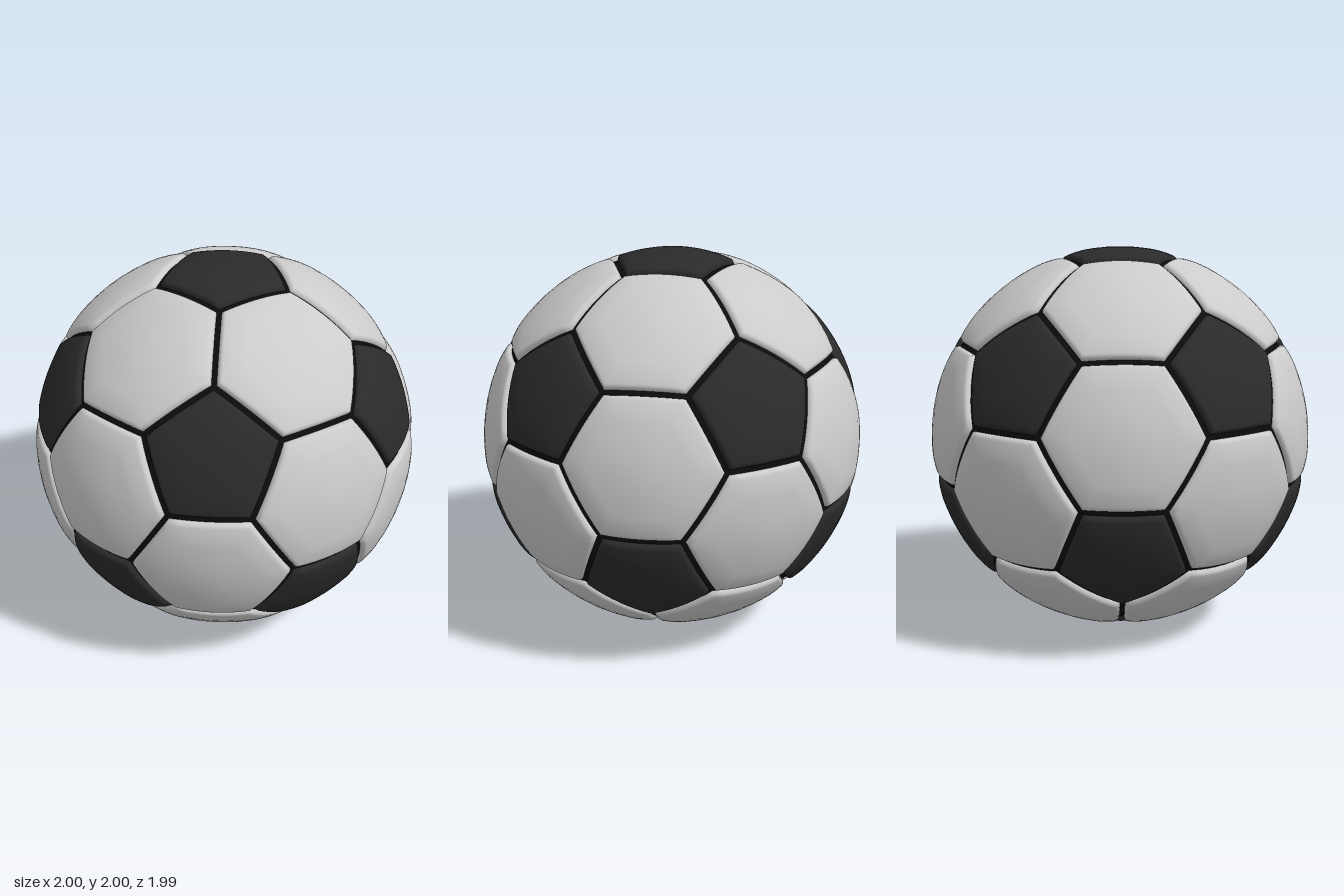
import * as THREE from 'three';

const EDGE_STEPS = 8;
const GAP = 0.012;   // half width of the seam
const LIP = 0.035;   // where the panel starts to roll into the seam

// Surface radius at a given distance from the panel's border
function panelRadius(d) {
  const soft = 1 - Math.min(d / 0.14, 1);
  const u = Math.min(Math.max((LIP - d) / (LIP - GAP), 0), 1);
  return 1 - 0.013 * soft * soft - 0.03 * (1 - Math.sqrt(1 - u * u));
}

// Padded spherical panel: rings run from the centre out to the border
function panelGeometry(corners) {
  const centre = new THREE.Vector3();
  corners.forEach(p => centre.addScaledVector(p, 1 / corners.length));
  const axis = centre.clone().normalize();
  const u = corners[0].clone().sub(centre).normalize();
  const v = axis.clone().cross(u);
  const angle = p => Math.atan2(p.dot(v), p.dot(u));
  const sorted = [...corners].sort((a, b) => angle(a) - angle(b));
  const apothem = sorted[0].clone().add(sorted[1]).multiplyScalar(0.5).distanceTo(centre);

  const border = [];
  sorted.forEach((p, i) => {
    const q = sorted[(i + 1) % sorted.length];
    for (let k = 0; k < EDGE_STEPS; k++) border.push(p.clone().lerp(q, k / EDGE_STEPS));
  });

  const dists = [0.8, 0.6].map(f => f * apothem)
    .concat([0.14, 0.115, 0.09, 0.065, 0.045, LIP, 0.028, 0.022, 0.017, 0.014, GAP]);
  const pos = [...axis.toArray()];
  const index = [];
  const n = border.length;
  dists.forEach((d, r) => {
    border.forEach((b, i) => {
      const p = centre.clone().lerp(b, 1 - d / apothem).setLength(panelRadius(d));
      pos.push(p.x, p.y, p.z);
      const j = (i + 1) % n;
      const o = 1 + r * n;
      if (r === 0) index.push(0, o + i, o + j);
      else index.push(o - n + i, o + i, o + j, o - n + i, o + j, o - n + j);
    });
  });
  const g = new THREE.BufferGeometry();
  g.setAttribute('position', new THREE.Float32BufferAttribute(pos, 3));
  g.setIndex(index);
  g.computeVertexNormals();
  return g;
}

export function createModel() {
  const ball = new THREE.Group();
  ball.name = 'ball';
  ball.position.y = 1;

  const white = new THREE.MeshStandardMaterial({ color: 0xcccccc });
  const black = new THREE.MeshStandardMaterial({ color: 0x2a2a2a });
  const seam = new THREE.MeshStandardMaterial({ color: 0x0c0c0c });
  const add = (geometry, material, name) => {
    const mesh = new THREE.Mesh(geometry, material);
    mesh.name = name;
    ball.add(mesh);
  };

  // Icosahedron points: two poles and two staggered rings of five
  const h = 1 / Math.sqrt(5);
  const points = [new THREE.Vector3(0, 1, 0), new THREE.Vector3(0, -1, 0)];
  for (let k = 0; k < 5; k++) {
    const a = k * Math.PI * 2 / 5;
    const b = a + Math.PI / 5;
    points.push(new THREE.Vector3(2 * h * Math.cos(a), h, 2 * h * Math.sin(a)));
    points.push(new THREE.Vector3(2 * h * Math.cos(b), -h, 2 * h * Math.sin(b)));
  }
  const near = (a, b) => a !== b && a.distanceTo(b) < 1.2;
  const third = (a, b) => a.clone().lerp(b, 1 / 3).normalize();

  // Dark five-sided panels, one around each point
  points.forEach(p => {
    const corners = points.filter(q => near(p, q)).map(q => third(p, q));
    add(panelGeometry(corners), black, 'pentagonPanel');
  });

  // Light six-sided panels, one for each triangle of neighbours
  points.forEach((a, i) => points.forEach((b, j) => points.forEach((c, k) => {
    if (i < j && j < k && near(a, b) && near(b, c) && near(a, c)) {
      const corners = [third(a, b), third(b, a), third(b, c), third(c, b), third(c, a), third(a, c)];
      add(panelGeometry(corners), white, 'hexagonPanel');
    }
  })));

  // Dark core seen through the seams
  add(new THREE.SphereGeometry(0.968, 96, 64), seam, 'seamLiner');

  const model = new THREE.Group();
  model.name = 'paneledBall';
  model.add(ball);
  return model;
}
